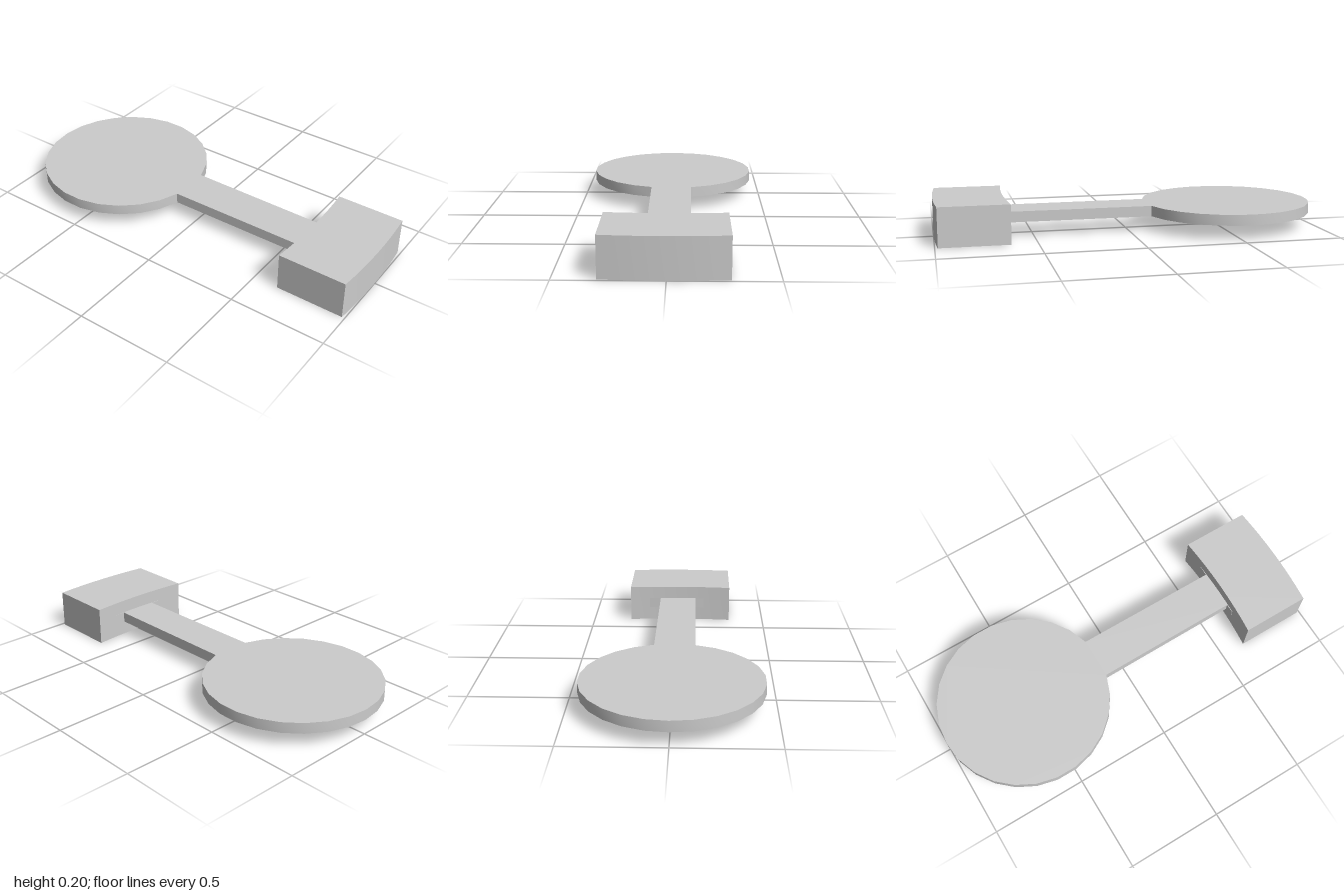
import * as THREE from 'three';
import { toCreasedNormals } from 'three/addons/utils/BufferGeometryUtils.js';

const grey = new THREE.MeshStandardMaterial({ color: 0xcccccc });
grey.name = 'grey';

// Extrudes a plan outline of [x, z] points upward from y = bottom to y = top
function slab(name, outline, bottom, top) {
  const shape = new THREE.Shape(outline.map(([x, z]) => new THREE.Vector2(x, z)));
  const geometry = new THREE.ExtrudeGeometry(shape, { depth: top - bottom, bevelEnabled: false });
  geometry.rotateX(Math.PI / 2).translate(0, top, 0);
  const mesh = new THREE.Mesh(toCreasedNormals(geometry, 0.5), grey);
  mesh.name = name;
  return mesh;
}

export function createModel() {
  const model = new THREE.Group();
  model.name = 'paddle';

  // Round plate, narrow handle and a short cross-piece seated in the end block
  const plate = [];
  const sides = 26;
  const radius = 0.448;
  for (let i = 1; i < sides; i++) {
    const a = (i / sides) * Math.PI * 2;
    plate.push([-0.552 + radius * Math.cos(a), radius * Math.sin(a)]);
  }
  plate.push([0.641, -0.105], [0.641, -0.22], [0.8, -0.22], [0.8, 0.15], [0.641, 0.15], [0.641, 0.103]);
  model.add(slab('plateAndHandle', plate, 0.075, 0.13));

  // End block, bowed along its length: hollow inner face, bulging outer face
  const inner = [];
  const outer = [];
  const steps = 8;
  for (let i = 0; i <= steps; i++) {
    const t = (i / steps) * 2 - 1;
    const z = 0.01 + 0.291 * t;
    const bow = 0.015 * (1 - t * t);
    inner.unshift([0.632 + bow, z]);
    outer.push([0.985 + bow, z]);
  }
  model.add(slab('endBlock', [...outer, ...inner], 0, 0.2));

  return model;
}
